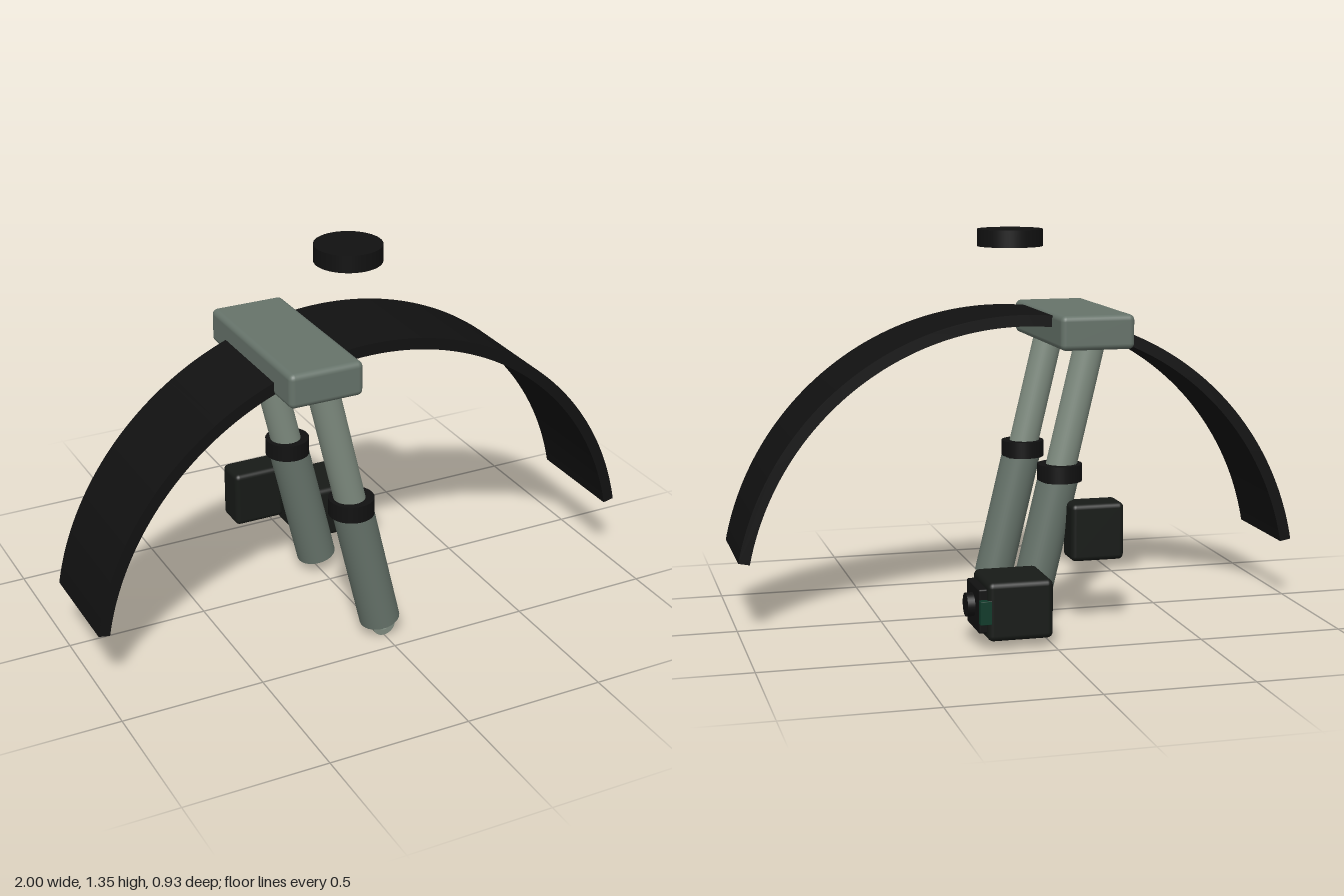
import * as THREE from 'three';
import { RoundedBoxGeometry } from 'three/addons/geometries/RoundedBoxGeometry.js';

const mat = (color) => new THREE.MeshStandardMaterial({ color });
const black = mat(0x111111);
const darkGrey = mat(0x171a17);
const grey = mat(0x66736a);
const lightGrey = mat(0x7f8c80);
const green = mat(0x0f3a2a);

function add(parent, name, geometry, material, x = 0, y = 0, z = 0) {
  const mesh = new THREE.Mesh(geometry, material);
  mesh.name = name;
  mesh.position.set(x, y, z);
  parent.add(mesh);
  return mesh;
}

// rounded block given by its minimum and maximum corners
function block(parent, name, min, max, radius, material) {
  const s = max.map((v, i) => v - min[i]);
  const c = max.map((v, i) => (v + min[i]) / 2);
  return add(parent, name, new RoundedBoxGeometry(...s, 3, radius), material, ...c);
}

// cylinder running between two points of the fork axis
function tube(parent, name, a, b, radius, material) {
  const dir = b.clone().sub(a);
  const mid = a.clone().add(b).multiplyScalar(0.5);
  const mesh = add(parent, name, new THREE.CylinderGeometry(radius, radius, dir.length(), 40), material, mid.x, mid.y, mid.z);
  mesh.quaternion.setFromUnitVectors(new THREE.Vector3(0, 1, 0), dir.normalize());
  return mesh;
}

// flat ring in the xy plane, centred on z
function ringGeometry(outer, inner, depth) {
  const shape = new THREE.Shape().absarc(0, 0, outer, 0, Math.PI * 2, false);
  shape.holes.push(new THREE.Path().absarc(0, 0, inner, 0, Math.PI * 2, true));
  return new THREE.ExtrudeGeometry(shape, { depth, bevelEnabled: false, curveSegments: 24 }).translate(0, 0, -depth / 2);
}

export function createModel() {
  const model = new THREE.Group();
  model.name = 'frontFork';

  // curved mudguard
  const start = THREE.MathUtils.degToRad(11.5);
  const end = THREE.MathUtils.degToRad(170.2);
  const arc = new THREE.Shape();
  arc.absarc(0, 0, 1.018, start, end, false);
  arc.absarc(0, 0, 0.978, end, start, true);
  const guard = new THREE.ExtrudeGeometry(arc, { depth: 0.385, bevelEnabled: false, curveSegments: 64 });
  add(model, 'mudguard', guard, black, 0, 0.048, -0.06);

  // crown joining both fork legs
  block(model, 'crown', [-0.363, 0.95, -0.182], [-0.1, 1.07, 0.448], 0.02, grey);

  // two raked legs
  const axis = (y, z) => new THREE.Vector3(-0.2386 * (y - 0.053), y, z);
  for (const [z, eyeZ] of [[0.384, 0.408], [-0.115, -0.142]]) {
    const leg = new THREE.Group();
    leg.name = 'forkLeg';
    model.add(leg);
    tube(leg, 'lowerTube', axis(0.053, z), axis(0.52, z), 0.07, grey).scale.z = 1.04;
    tube(leg, 'upperTube', axis(0.48, z), axis(1.0, z), 0.053, lightGrey);
    add(leg, 'collar', new THREE.CylinderGeometry(0.078, 0.078, 0.06, 40), black, axis(0.523, z).x, 0.523, z);
    add(leg, 'axleEye', ringGeometry(0.042, 0.021, 0.025), lightGrey, 0, 0.042, eyeZ);
  }

  // floating cap
  add(model, 'cap', new THREE.CylinderGeometry(0.116, 0.116, 0.06, 48), black, 0, 1.32, 0.134);

  // block beside the rear leg
  block(model, 'sideBlock', [-0.307, 0.23, -0.248], [-0.12, 0.43, -0.13], 0.018, darkGrey);

  // motor unit with stepped end
  const motor = new THREE.Group();
  motor.name = 'motor';
  model.add(motor);
  block(motor, 'motorBody', [0.005, 0.03, -0.464], [0.228, 0.23, -0.238], 0.02, darkGrey);
  block(motor, 'endPlate', [0.21, 0.055, -0.437], [0.255, 0.205, -0.265], 0.006, black);
  add(motor, 'endBoss', new THREE.CylinderGeometry(0.04, 0.04, 0.05, 32).rotateZ(Math.PI / 2), black, 0.255, 0.135, -0.35);
  block(motor, 'connectorTab', [0.21, 0.09, -0.462], [0.255, 0.17, -0.436], 0.002, green);

  return model;
}
